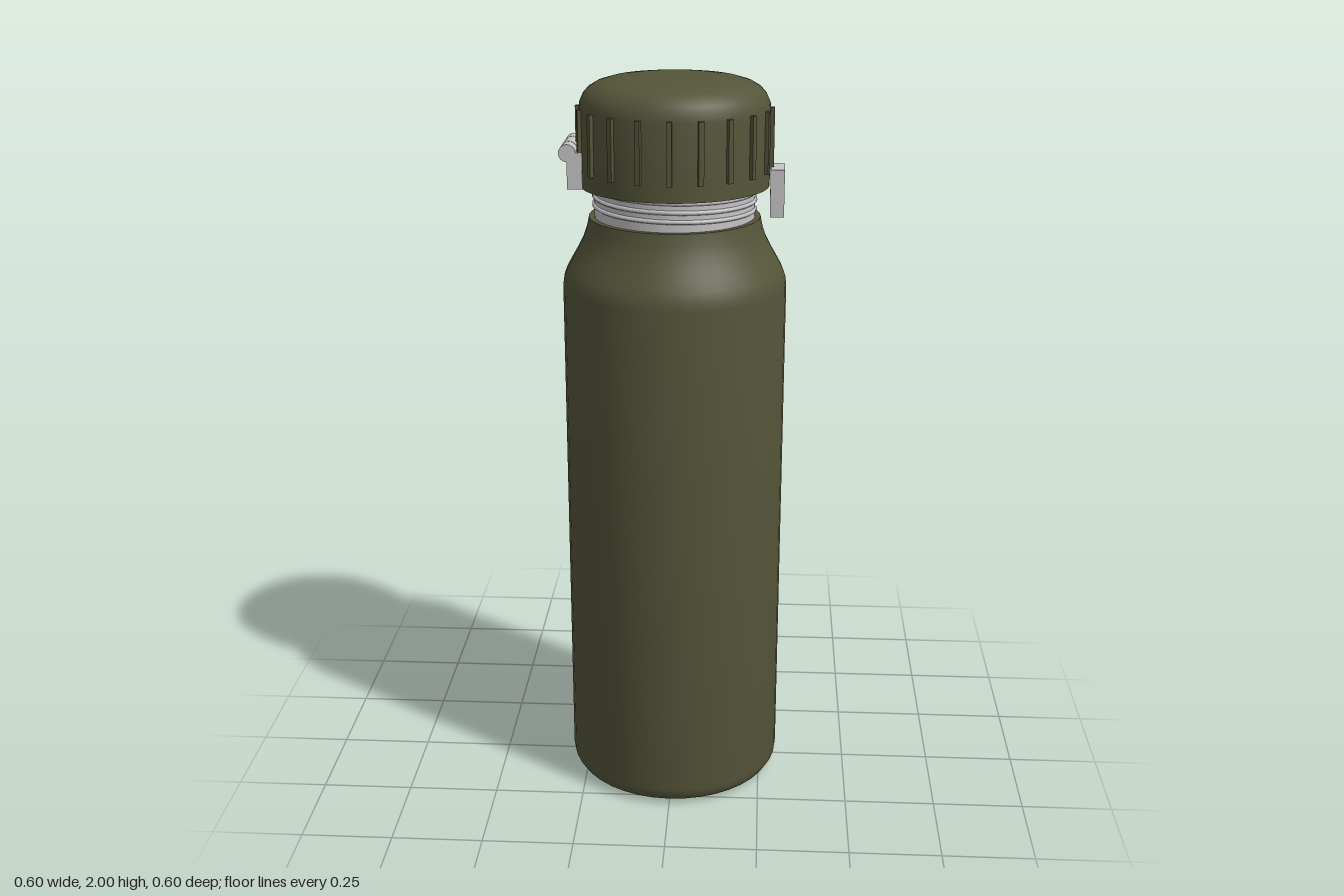
import * as THREE from 'three';
import { toCreasedNormals } from 'three/addons/utils/BufferGeometryUtils.js';

export function createModel() {
  const bottle = new THREE.Group();
  bottle.name = 'bottle';

  const olive = new THREE.MeshStandardMaterial({ color: 0x55553a });
  olive.name = 'olive paint';
  const steel = new THREE.MeshStandardMaterial({ color: 0xc4c4c6 });
  steel.name = 'steel';

  function add(name, geometry, material, parent = bottle) {
    const mesh = new THREE.Mesh(geometry, material);
    mesh.name = name;
    parent.add(mesh);
    return mesh;
  }

  function lathe(points, segments) {
    const profile = points.map(([r, y]) => new THREE.Vector2(r, y));
    return toCreasedNormals(new THREE.LatheGeometry(profile, segments), 0.6);
  }

  // Body with rounded base and sloping shoulder
  add('body', lathe([
    [0, 0], [0.25, 0], [0.27, 0.004], [0.287, 0.014], [0.297, 0.03], [0.3, 0.05],
    [0.3, 1.45], [0.297, 1.472], [0.288, 1.495], [0.274, 1.52], [0.258, 1.548],
    [0.244, 1.576], [0.234, 1.604], [0.228, 1.634], [0.21, 1.634],
  ], 40), olive);

  // Bare neck and its screw thread
  add('neck', lathe([[0.213, 1.62], [0.213, 1.74]], 48), steel);
  const threadPoints = [];
  for (let i = 0; i <= 72; i++) {
    const a = (i / 72) * Math.PI * 5;
    threadPoints.push(new THREE.Vector3(
      0.213 * Math.cos(a), 1.655 + 0.024 * a / (Math.PI * 2), 0.213 * Math.sin(a)));
  }
  add('neckThread', new THREE.TubeGeometry(
    new THREE.CatmullRomCurve3(threadPoints), 160, 0.006, 6), steel);

  // Domed cap
  const cap = new THREE.Group();
  cap.name = 'cap';
  bottle.add(cap);
  add('capShell', lathe([
    [0, 1.717], [0.25, 1.717], [0.25, 1.915], [0.247, 1.935], [0.239, 1.953],
    [0.225, 1.969], [0.205, 1.981], [0.175, 1.99], [0.13, 1.996], [0.07, 1.999], [0, 2],
  ], 56), olive, cap);

  // Grip ribs around the cap
  const ribGeometry = new THREE.BoxGeometry(0.014, 0.16, 0.016);
  for (let i = 0; i < 20; i++) {
    const a = (i / 20) * Math.PI * 2;
    const rib = add('gripRib', ribGeometry, olive, cap);
    rib.position.set(0.252 * Math.sin(a), 1.84, 0.252 * Math.cos(a));
    rib.rotation.y = a;
  }

  // Latch plate on the model's left
  add('latch', new THREE.BoxGeometry(0.037, 0.125, 0.094), steel)
    .position.set(0.2705, 1.7025, 0);

  // Hinge leaf and three-knuckle barrel opposite the latch
  const hinge = new THREE.Group();
  hinge.name = 'hinge';
  bottle.add(hinge);
  add('hingeLeaf', new THREE.BoxGeometry(0.04, 0.095, 0.178), steel, hinge)
    .position.set(-0.255, 1.764, 0);
  for (const [z, length] of [[-0.065, 0.048], [0, 0.074], [0.064, 0.048]]) {
    const knuckle = add('hingeKnuckle',
      new THREE.CylinderGeometry(0.023, 0.023, length, 16), steel, hinge);
    knuckle.rotation.x = Math.PI / 2;
    knuckle.position.set(-0.274, 1.81, z);
  }
  const pin = add('hingePin', new THREE.CylinderGeometry(0.016, 0.016, 0.17, 12), steel, hinge);
  pin.rotation.x = Math.PI / 2;
  pin.position.set(-0.274, 1.81, 0);

  return bottle;
}
